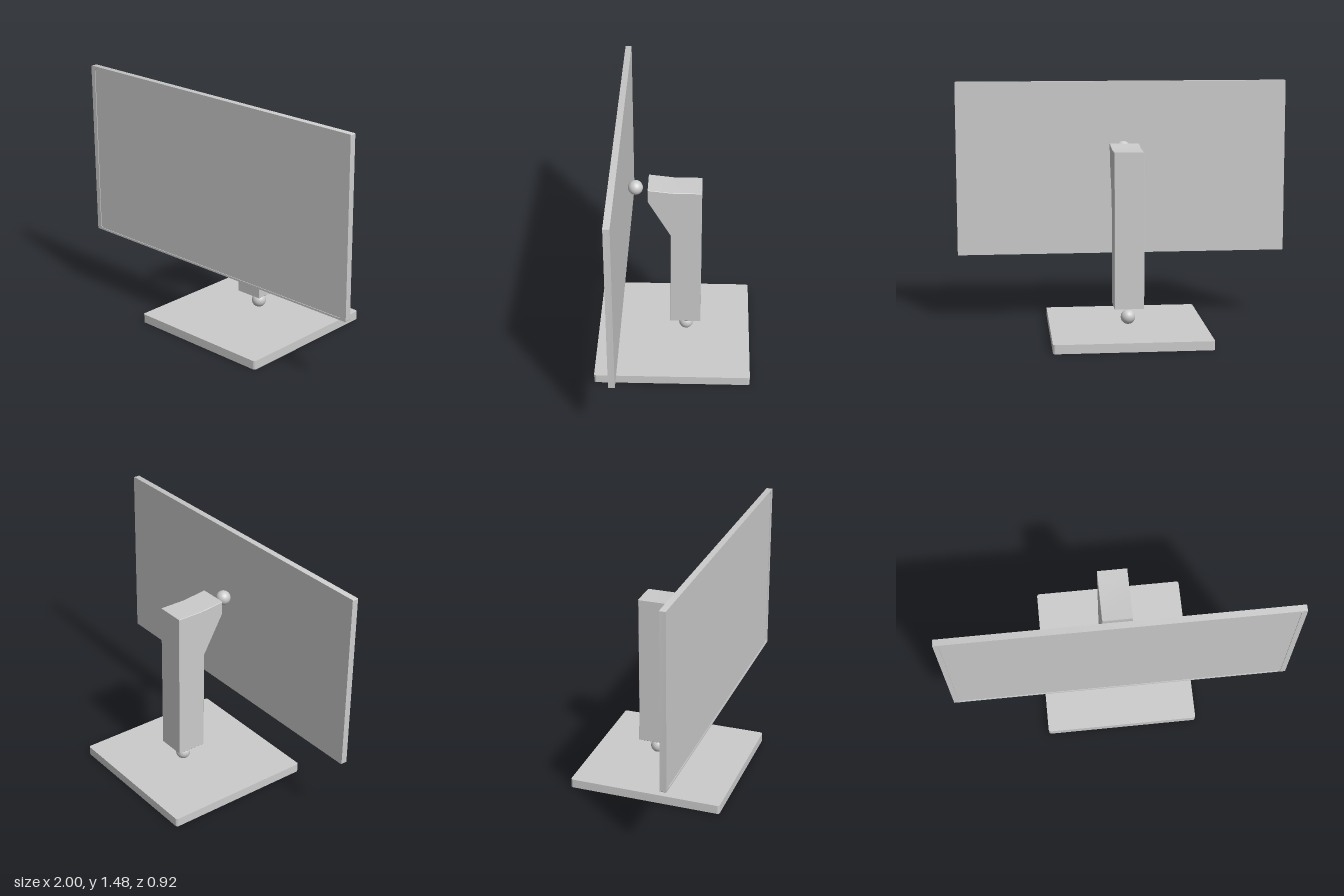
import * as THREE from 'three';
import { toCreasedNormals } from 'three/addons/utils/BufferGeometryUtils.js';

const material = new THREE.MeshStandardMaterial({ color: 0xcccccc });

function roundedRect(w, h, r, Type = THREE.Shape) {
  const x = w / 2, y = h / 2, s = new Type();
  s.absarc(x - r, y - r, r, 0, Math.PI / 2);
  s.absarc(r - x, y - r, r, Math.PI / 2, Math.PI);
  s.absarc(r - x, r - y, r, Math.PI, Math.PI * 1.5);
  s.absarc(x - r, r - y, r, Math.PI * 1.5, Math.PI * 2);
  s.closePath();
  return s;
}

function extrude(shape, depth, options = {}) {
  const geometry = new THREE.ExtrudeGeometry(shape, { depth, bevelEnabled: false, curveSegments: 6, ...options });
  return toCreasedNormals(geometry, Math.PI / 6);
}

export function createModel() {
  const model = new THREE.Group();
  const add = (name, geometry, x, y, z, parent = model) => {
    const mesh = new THREE.Mesh(geometry, material);
    mesh.name = name;
    mesh.position.set(x, y, z);
    parent.add(mesh);
    return mesh;
  };

  // Square foot plate with slightly rounded corners
  add('base', extrude(roundedRect(0.92, 0.92, 0.015), 0.053).rotateX(-Math.PI / 2), 0, 0, 0);

  // Upright whose top flares forward; profile points are (z, y)
  const profile = new THREE.Shape([
    [-0.162, 0.178], [0.018, 0.178], [0.018, 0.805], [0.148, 1.035],
    [0.148, 1.115], [0, 1.098], [-0.162, 1.098],
  ].map(([z, y]) => new THREE.Vector2(z, y)));
  const width = 0.174, bevel = 0.002;
  const neck = extrude(profile, width - 2 * bevel, {
    bevelEnabled: true, bevelSize: bevel, bevelThickness: bevel, bevelOffset: -bevel, bevelSegments: 1,
  });
  neck.translate(0, 0, bevel - width / 2).rotateY(-Math.PI / 2);
  add('neck', neck, 0, 0, 0);

  // Ball joints below the upright and behind the display
  const ball = new THREE.SphereGeometry(0.043, 32, 20);
  add('baseJoint', ball, 0, 0.113, -0.074);
  add('displayJoint', ball, 0, 1.08, 0.222);

  // Display: solid back panel, with a thin raised bezel around the screen
  const display = new THREE.Group();
  display.name = 'display';
  display.position.set(0, 0.952, 0.292);
  model.add(display);
  const lip = 0.004, thickness = 0.037;
  add('panel', extrude(roundedRect(2, 1.048, 0.005), thickness - lip), 0, 0, 0, display);
  const frame = roundedRect(2, 1.048, 0.005);
  frame.holes.push(roundedRect(1.94, 1.025, 0.02, THREE.Path));
  add('bezel', extrude(frame, lip), 0, 0, thickness - lip, display);

  return model;
}
